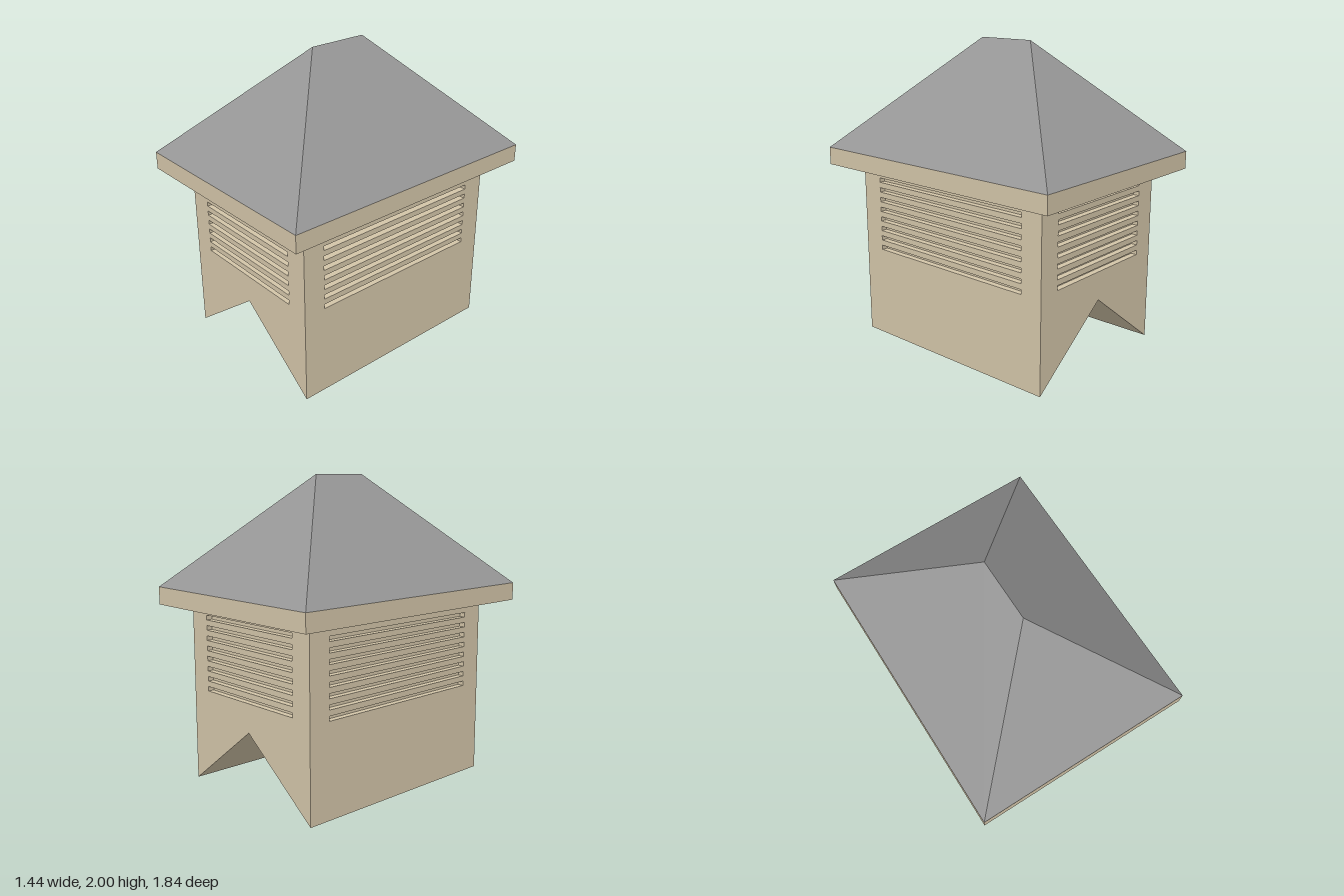
import * as THREE from 'three';
import { ConvexGeometry } from 'three/addons/geometries/ConvexGeometry.js';

const HALF_X = 0.57, HALF_Z = 0.757, WALL_TOP = 1.2, NOTCH = 0.435, DEPTH = 0.04;
const SLOPE = NOTCH / HALF_X;

const tan = new THREE.MeshStandardMaterial({ color: 0xd2c4a8 });
const slate = new THREE.MeshStandardMaterial({ color: 0x969696 });

// Wall outline; a notched one rises to a point in the middle of its bottom edge
function wallShape(half, bottom, notched) {
  const points = [[-half, bottom]];
  if (notched) points.push([0, NOTCH]);
  points.push([half, bottom], [half, WALL_TOP], [-half, WALL_TOP]);
  return new THREE.Shape(points.map(([x, y]) => new THREE.Vector2(x, y)));
}

// Wall panel with eight horizontal vent slots, mitred at its inner edges
function wallPanel(half, notched, slotHalf, slotBottom) {
  const shape = wallShape(half, 0, notched);
  for (let i = 0; i < 8; i++) {
    const y = slotBottom + i * 0.0665, h = 0.03;
    shape.holes.push(new THREE.Path([
      new THREE.Vector2(-slotHalf, y), new THREE.Vector2(-slotHalf, y + h),
      new THREE.Vector2(slotHalf, y + h), new THREE.Vector2(slotHalf, y),
    ]));
  }
  const geometry = new THREE.ExtrudeGeometry(shape, { depth: DEPTH, bevelEnabled: false });
  const p = geometry.attributes.position;
  for (let i = 0; i < p.count; i++) {
    if (p.getZ(i) > DEPTH / 2) continue;
    const x = p.getX(i), y = p.getY(i);
    if (Math.abs(x) > half - 0.001) p.setX(i, x - Math.sign(x) * DEPTH);
    if (Math.abs(y) < 0.001) p.setY(i, SLOPE * DEPTH);
  }
  geometry.computeVertexNormals();
  return geometry;
}

function addMesh(parent, name, geometry, material) {
  const mesh = new THREE.Mesh(geometry, material);
  mesh.name = name;
  parent.add(mesh);
  return mesh;
}

export function createModel() {
  const model = new THREE.Group();
  model.name = 'roofCupola';

  // Body: solid core behind four slotted walls
  const body = new THREE.Group();
  body.name = 'body';
  body.position.z = -0.007;
  model.add(body);

  const coreLength = 2 * (HALF_Z - DEPTH);
  const core = new THREE.ExtrudeGeometry(
    wallShape(HALF_X - DEPTH, SLOPE * DEPTH, true), { depth: coreLength, bevelEnabled: false });
  core.translate(0, 0, -coreLength / 2);
  addMesh(body, 'core', core, tan);

  const endWall = wallPanel(HALF_X, true, 0.42, 0.622);
  endWall.translate(0, 0, HALF_Z - DEPTH);
  const sideWall = wallPanel(HALF_Z, false, 0.608, 0.604);
  sideWall.translate(0, 0, HALF_X - DEPTH);
  addMesh(body, 'frontWall', endWall, tan);
  addMesh(body, 'backWall', endWall, tan).rotation.y = Math.PI;
  addMesh(body, 'leftWall', sideWall, tan).rotation.y = Math.PI / 2;
  addMesh(body, 'rightWall', sideWall, tan).rotation.y = -Math.PI / 2;

  // Eave slab
  const eave = addMesh(model, 'eave', new THREE.BoxGeometry(1.44, 0.115, 1.84), tan);
  eave.position.y = 1.2275;

  // Hipped roof with a short ridge
  const corners = [];
  for (const z of [-1, 1]) {
    for (const x of [-1, 1]) corners.push(new THREE.Vector3(x * 0.72, 1.285, z * 0.92));
    corners.push(new THREE.Vector3(0, 2, z * 0.2));
  }
  addMesh(model, 'roof', new ConvexGeometry(corners), slate);

  return model;
}
